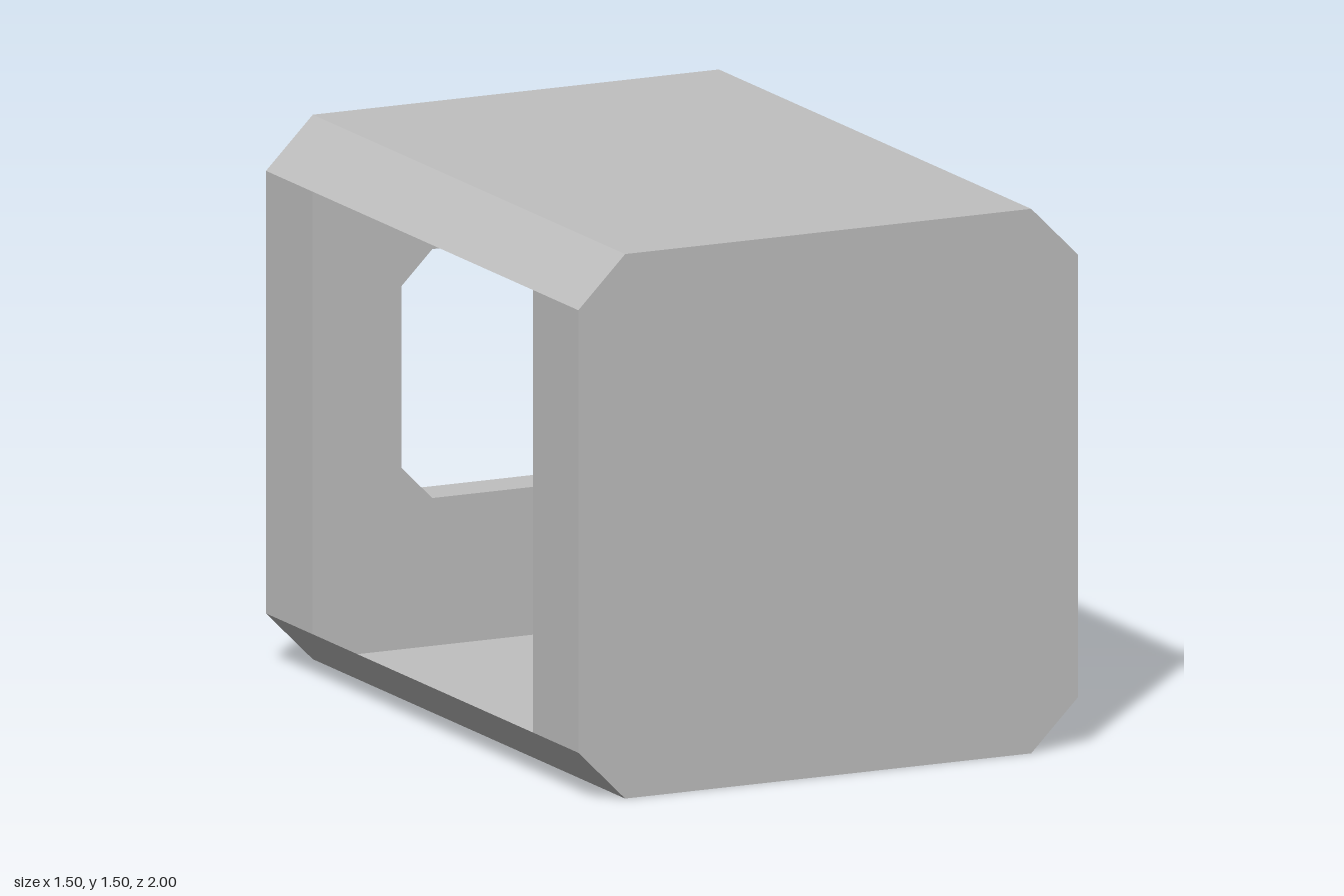
import * as THREE from 'three';

const CENTRE_Y = 0.748;
const FRONT_Z = 1, BACK_Z = -0.872, NECK_Z = -1;

// Corners of a square with cut corners, clockwise from the top left
function cutSquare(half, cut) {
  const k = half - cut;
  return [[-k, half], [k, half], [half, k], [half, -k], [k, -half], [-k, -half], [-half, -k], [-half, k]]
    .map(([x, y]) => new THREE.Vector2(x, y));
}

export function createModel() {
  const model = new THREE.Group();
  model.name = 'hollowHousing';
  const grey = new THREE.MeshStandardMaterial({ color: 0xc0c0c0, side: THREE.DoubleSide, flatShading: true });
  grey.name = 'light grey';

  function add(name, geometry, z) {
    const mesh = new THREE.Mesh(geometry, grey);
    mesh.name = name;
    mesh.position.set(0, CENTRE_Y, z);
    model.add(mesh);
  }

  // Flat sheet along one edge of an outline, running from z0 to z1
  function addSheet(name, a, b, z0, z1) {
    const geometry = new THREE.PlaneGeometry(a.distanceTo(b), z1 - z0);
    geometry.rotateX(-Math.PI / 2);
    geometry.rotateZ(Math.atan2(b.y - a.y, b.x - a.x));
    geometry.translate((a.x + b.x) / 2, (a.y + b.y) / 2, 0);
    add(name, geometry, (z0 + z1) / 2);
  }

  const body = cutSquare(0.748, 0.14);
  const neck = cutSquare(0.342, 0.092);

  // Closed front and back plate with the neck hole
  add('frontPlate', new THREE.ShapeGeometry(new THREE.Shape(body)), FRONT_Z);
  const backShape = new THREE.Shape(body);
  backShape.holes.push(new THREE.Path(neck));
  add('backPlate', new THREE.ShapeGeometry(backShape).rotateY(Math.PI), BACK_Z);

  // Thin body walls; the right side is open between two end strips
  const names = ['roof', 'topLeftBevel', 'leftWall', 'bottomLeftBevel', 'floor',
    'bottomRightBevel', 'rightWall', 'topRightBevel'];
  names.forEach((name, i) => {
    const a = body[i], b = body[(i + 1) % 8];
    if (name === 'rightWall') {
      addSheet('rightWallBackStrip', a, b, BACK_Z, -0.594);
      addSheet('rightWallFrontStrip', a, b, 0.728, FRONT_Z);
    } else {
      addSheet(name, a, b, BACK_Z, FRONT_Z);
    }
  });

  // Short open neck behind the back plate
  neck.forEach((a, i) => addSheet('neckWall', a, neck[(i + 1) % 8], NECK_Z, BACK_Z));

  return model;
}
